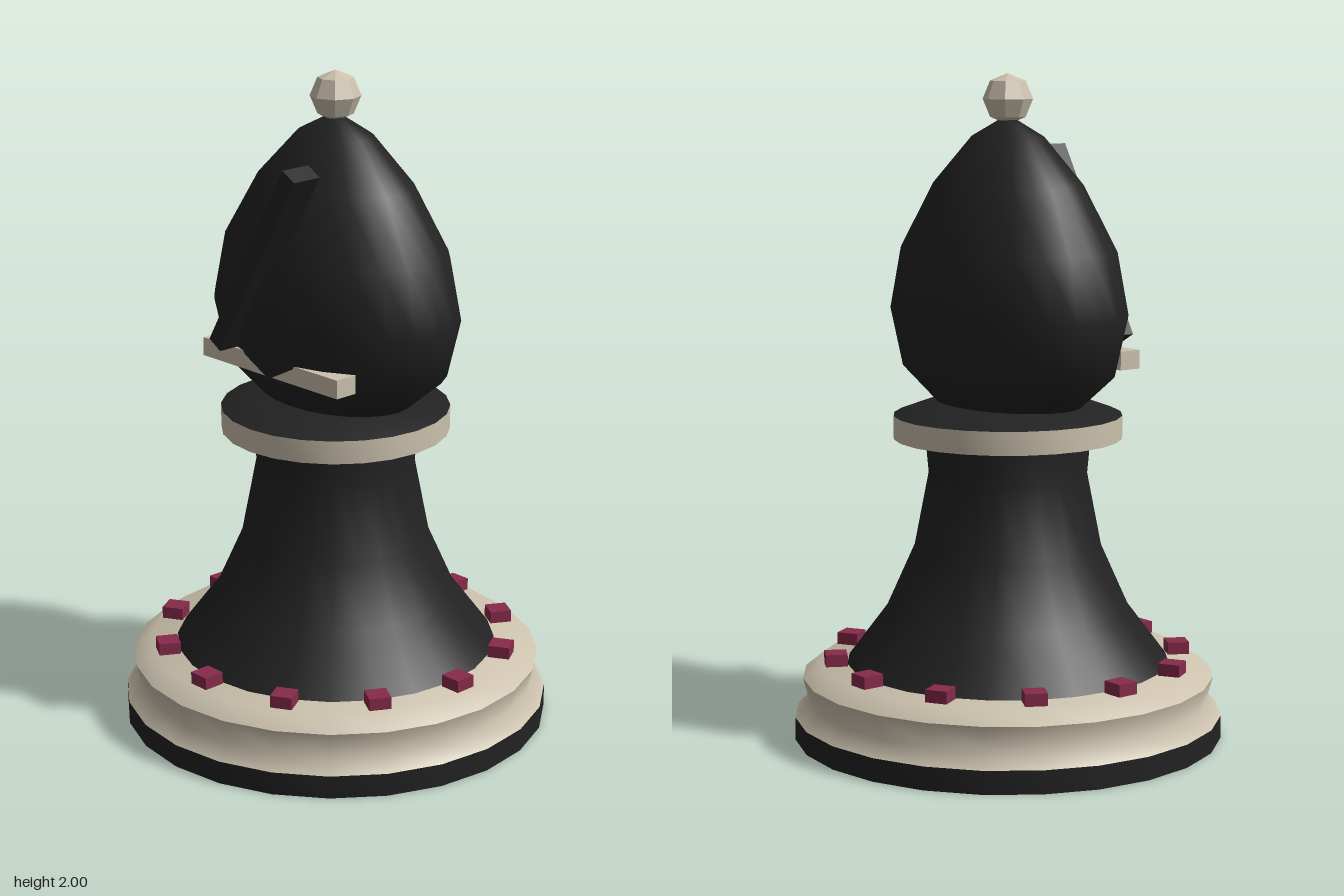
import * as THREE from 'three';
import { toCreasedNormals } from 'three/addons/utils/BufferGeometryUtils.js';

export function createModel() {
  const material = (name, color) => {
    const m = new THREE.MeshStandardMaterial({ color });
    m.name = name;
    return m;
  };
  const black = material('black', 0x222222);
  const cream = material('cream', 0xcbc1ad);
  const crimson = material('crimson', 0x862b4a);

  const model = new THREE.Group();
  model.name = 'bishopPiece';

  const add = (name, geometry, mat, x = 0, y = 0, z = 0, parent = model) => {
    const mesh = new THREE.Mesh(geometry, mat);
    mesh.name = name;
    mesh.position.set(x, y, z);
    parent.add(mesh);
    return mesh;
  };

  // Turned shape from [radius, height] pairs listed bottom to top
  const turned = (profile, crease = 0.6, depthScale = 1) => {
    const points = profile.map(([r, y]) => new THREE.Vector2(r, y));
    const geometry = new THREE.LatheGeometry(points, 24);
    geometry.scale(1, 1, depthScale);
    return toCreasedNormals(geometry, crease);
  };

  // Base: black foot with a cream moulding
  add('foot', turned([[0, 0], [0.65, 0], [0.65, 0.07], [0, 0.07]]), black);
  add('baseMoulding', turned([
    [0.65, 0.07], [0.605, 0.115], [0.625, 0.19], [0.57, 0.23], [0, 0.23],
  ], 1.1), cream);

  // Ring of twelve studs on the base
  const studs = new THREE.Group();
  studs.name = 'studs';
  model.add(studs);
  const studGeometry = new THREE.BoxGeometry(0.066, 0.05, 0.066);
  for (let i = 0; i < 12; i++) {
    const a = (i * Math.PI) / 6;
    const stud = add('stud', studGeometry, crimson, Math.sin(a) * 0.525, 0.242, Math.cos(a) * 0.525, studs);
    stud.rotation.y = a;
  }

  // Flared stem and collar
  add('stem', turned([
    [0.49, 0.23], [0.37, 0.39], [0.285, 0.58], [0.24, 0.81], [0.25, 0.92],
  ]), black);
  add('collar', turned([[0, 0.915], [0.345, 0.915], [0.345, 0.985], [0, 0.985]]), cream);
  add('collarTop', turned([[0.345, 0.985], [0.25, 1.02], [0, 1.02]]), black);

  // Head, flattened front to back
  add('head', turned([
    [0, 1.015], [0.265, 1.02], [0.385, 1.12], [0.43, 1.295], [0.39, 1.48],
    [0.27, 1.675], [0.13, 1.815], [0.03, 1.865], [0, 1.87],
  ], 1, 0.7), black);

  // Slanted bar and cream band on the front of the head
  const bar = add('slantedBar', new THREE.BoxGeometry(0.055, 0.648, 0.098), black, 0, 1.485, 0.286);
  bar.rotation.z = -Math.PI / 6;
  add('headBand', new THREE.BoxGeometry(0.58, 0.056, 0.074), cream, 0, 1.158, 0.233);

  // Faceted finial
  const finial = new THREE.SphereGeometry(0.075, 8, 4).toNonIndexed();
  finial.computeVertexNormals();
  add('finial', finial, cream, 0, 1.925, 0);

  return model;
}
